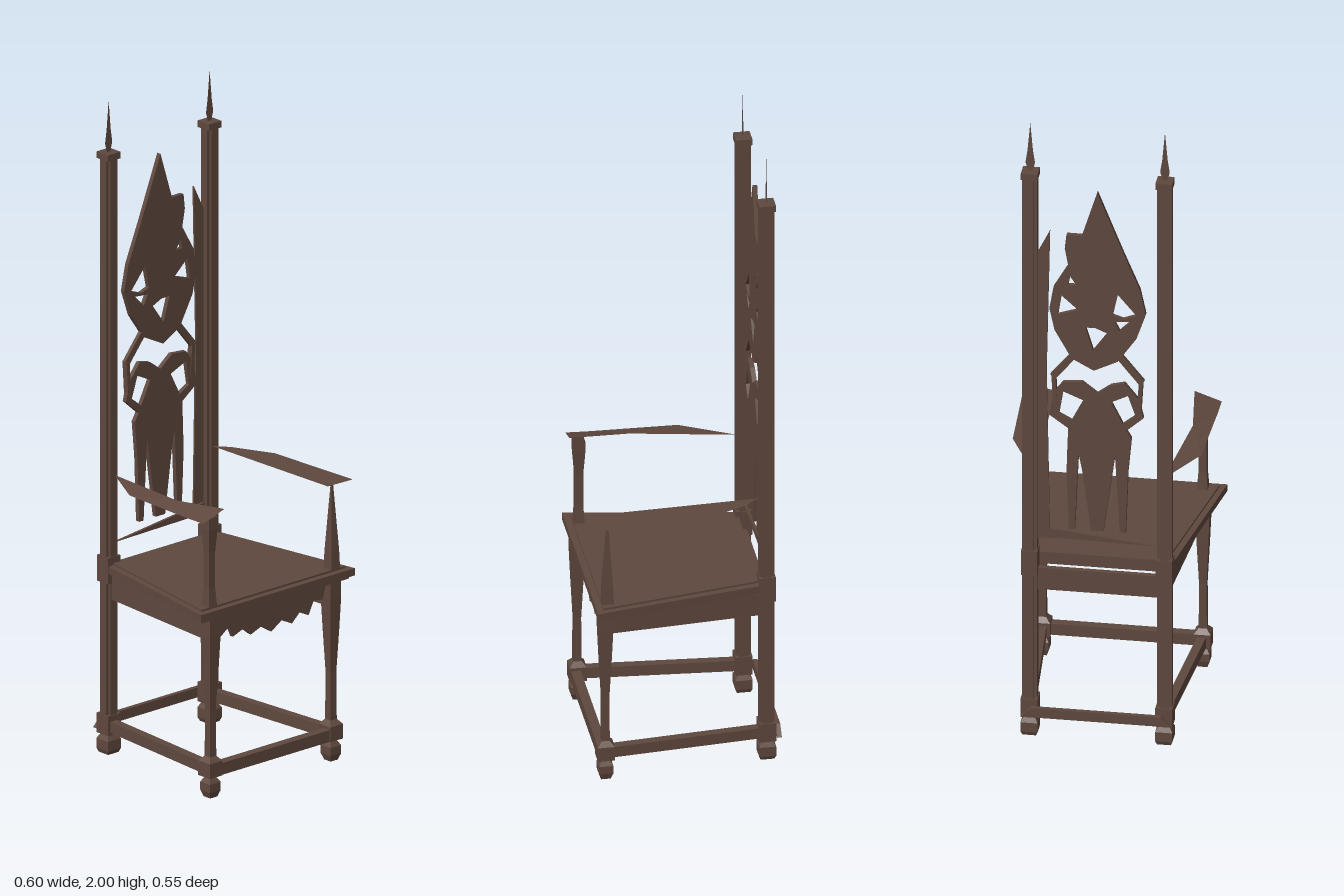
import * as THREE from 'three';

export function createModel() {
  const root = new THREE.Group();
  root.name = 'tallBackArmchair';
  const wood = new THREE.MeshStandardMaterial({ color: 0x5f483e, side: THREE.DoubleSide });
  wood.name = 'dark brown wood';

  const add = (name, geo, parent = root) => {
    const m = new THREE.Mesh(geo, wood);
    m.name = name;
    parent.add(m);
    return m;
  };
  const box = (name, w, h, d, x, y, z, parent) => {
    const m = add(name, new THREE.BoxGeometry(w, h, d), parent);
    m.position.set(x, y, z);
    return m;
  };
  // Straight bar between two points
  const beam = (name, a, b, w, h, parent) => {
    const p = new THREE.Vector3(...a), q = new THREE.Vector3(...b);
    const m = add(name, new THREE.BoxGeometry(w, h, p.distanceTo(q)), parent);
    m.position.copy(p).add(q).multiplyScalar(0.5);
    m.lookAt(q);
    return m;
  };
  const outline = (pts) => new THREE.Shape(pts.map((p) => new THREE.Vector2(...p)));
  // Upright fretwork plate in the xy plane
  const plate = (name, pts, z, depth, holes = [], parent = root) => {
    const s = outline(pts);
    holes.forEach((h) => s.holes.push(new THREE.Path(h.map((p) => new THREE.Vector2(...p)))));
    const g = new THREE.ExtrudeGeometry(s, { depth, bevelEnabled: false });
    g.translate(0, 0, z - depth / 2);
    return add(name, g, parent);
  };
  // Horizontal slab from an [x, z] outline
  const slab = (name, pts, y, h) => {
    const g = new THREE.ExtrudeGeometry(outline(pts.map(([x, z]) => [x, -z])), { depth: h, bevelEnabled: false });
    g.rotateX(-Math.PI / 2);
    g.translate(0, y, 0);
    return add(name, g);
  };
  // Square turned piece: rows of [half width, y]
  const turned = (name, rows, x, z, parent = root) => {
    const g = new THREE.LatheGeometry(rows.map(([r, y]) => new THREE.Vector2(r * Math.SQRT2, y)), 4, Math.PI / 4);
    const flat = g.toNonIndexed();
    flat.computeVertexNormals();
    const m = add(name, flat, parent);
    m.position.set(x, 0, z);
    return m;
  };
  // Thin sheet from 3D corners, fanned from the first
  const sheet = (name, pts, tris) => {
    const g = new THREE.BufferGeometry();
    g.setAttribute('position', new THREE.Float32BufferAttribute(tris.flatMap((i) => pts[i]), 3));
    g.computeVertexNormals();
    return add(name, g);
  };

  const ZB = -0.237, XB = 0.197, XF = 0.235, ZF = 0.243;

  for (const s of [-1, 1]) {
    // Ridged back post with foot, blocks, cap and flat finial
    const post = new THREE.Group();
    post.name = 'backPost';
    root.add(post);
    box('postCore', 0.044, 1.72, 0.026, s * XB, 0.97, ZB, post);
    box('postRidge', 0.026, 1.72, 0.044, s * XB, 0.97, ZB, post);
    box('seatBlock', 0.048, 0.08, 0.048, s * XB, 0.565, ZB, post);
    box('stretcherBlock', 0.05, 0.06, 0.05, s * XB, 0.09, ZB, post);
    box('postCap', 0.049, 0.02, 0.049, s * XB, 1.833, ZB, post);
    turned('backFoot', [[0, 0], [0.02, 0], [0.025, 0.012], [0.025, 0.042], [0.014, 0.062]], s * XB, ZB, post);
    const fin = [[-0.007, 1.843], [0.007, 1.843], [0.014, 1.87], [0.008, 1.91], [0, 2], [-0.008, 1.91], [-0.014, 1.87]];
    const f = add('finial', new THREE.ShapeGeometry(outline(fin)), post);
    f.position.set(s * XB, 0, ZB);

    // Tapered front leg
    turned('frontLeg', [[0, 0], [0.014, 0], [0.021, 0.02], [0.021, 0.045], [0.012, 0.06], [0.025, 0.065],
      [0.025, 0.11], [0.012, 0.125], [0.011, 0.27], [0.017, 0.4], [0.021, 0.5], [0.021, 0.555]], s * XF, ZF);

    // Side stretcher and seat rail
    beam('sideStretcher', [s * XF, 0.085, ZF], [s * XB, 0.085, ZB], 0.026, 0.034);
    beam('sideRail', [s * 0.228, 0.51, 0.225], [s * 0.197, 0.51, -0.215], 0.016, 0.07);
  }

  // Cross stretchers and back rail
  box('frontStretcher', 0.5, 0.036, 0.028, 0, 0.083, 0.25);
  plate('backStretcher', [[-0.22, 0.07], [0.22, 0.07], [0.19, 0.1], [-0.19, 0.1]], -0.272, 0.014);
  box('backRail', 0.36, 0.07, 0.016, 0, 0.51, ZB);

  // Seat with moulded edge
  const seat = (o) => [[-0.3 + o, 0.275 - o], [0.3 - o, 0.275 - o], [0.218 - o, -0.222], [-0.218 + o, -0.222]];
  slab('seatLowerMoulding', seat(0.012), 0.548, 0.012);
  slab('seatBoard', seat(0), 0.558, 0.022);
  slab('seatPanel', seat(0.02), 0.58, 0.006);

  // Scalloped front apron
  plate('frontApron', [[-0.215, 0.55], [-0.2, 0.48], [-0.165, 0.505], [-0.15, 0.47], [-0.11, 0.485], [-0.08, 0.46],
    [-0.04, 0.475], [0, 0.45], [0.04, 0.475], [0.08, 0.455], [0.11, 0.482], [0.145, 0.465], [0.165, 0.505],
    [0.2, 0.5], [0.215, 0.55]], 0.24, 0.012);

  // Right arm: sloping sheet on a square support
  sheet('rightArm', [[-0.19, 0.853, -0.215], [-0.2, 0.853, -0.2], [-0.276, 0.853, -0.06], [-0.284, 0.853, 0.2],
    [-0.285, 0.855, 0.268], [-0.205, 0.882, 0.27], [-0.228, 0.866, 0.09]],
  [0, 1, 2, 0, 2, 6, 2, 3, 6, 6, 3, 5, 3, 4, 5]);
  turned('rightArmSupport', [[0.016, 0.583], [0.012, 0.64], [0.012, 0.75], [0.017, 0.82], [0.017, 0.858]], -XF, 0.238);

  // Left arm: flat sheet on a pointed support
  sheet('leftArm', [[0.185, 0.853, -0.215], [0.22, 0.853, -0.17], [0.278, 0.853, -0.045], [0.294, 0.853, 0.272],
    [0.2, 0.853, 0.268]], [0, 2, 1, 0, 3, 2, 0, 4, 3]);
  turned('leftArmSupport', [[0.017, 0.583], [0.015, 0.64], [0.002, 0.853]], 0.243, 0.238);

  // Pierced back panel
  const back = new THREE.Group();
  back.name = 'backFretwork';
  root.add(back);
  const Z = -0.238, T = 0.014;
  plate('upperFretwork', [[0, 1.79], [0.045, 1.645], [0.09, 1.645], [0.095, 1.6], [0.085, 1.545], [0.128, 1.47],
    [0.14, 1.4], [0.125, 1.33], [0.075, 1.24], [0.01, 1.205], [-0.06, 1.24], [-0.115, 1.32], [-0.142, 1.4],
    [-0.125, 1.48], [-0.075, 1.6]], Z, T, [
    [[-0.115, 1.395], [-0.06, 1.46], [-0.045, 1.39], [-0.075, 1.38]],
    [[-0.1, 1.375], [-0.05, 1.37], [-0.065, 1.34]],
    [[0.055, 1.4], [0.105, 1.445], [0.115, 1.38]],
    [[-0.03, 1.33], [0.005, 1.345], [0.035, 1.345], [0.012, 1.27]],
    [[0.06, 1.48], [0.08, 1.51], [0.085, 1.48]],
  ], back);
  plate('lowerFretwork', [[0, 1.13], [0.045, 1.165], [0.1, 1.16], [0.13, 1.12], [0.14, 1.05], [0.085, 1.01],
    [0.088, 0.93], [0.09, 0.86], [0.083, 0.68], [0.066, 0.68], [0.055, 0.93], [0.045, 0.88], [0.018, 0.68],
    [-0.018, 0.68], [-0.045, 0.88], [-0.052, 0.93], [-0.066, 0.68], [-0.083, 0.68], [-0.09, 0.88], [-0.1, 0.99],
    [-0.085, 1.015], [-0.135, 1.06], [-0.12, 1.12], [-0.08, 1.17], [-0.04, 1.16]], Z, T, [
    [[-0.112, 1.065], [-0.09, 1.13], [-0.04, 1.105], [-0.075, 1.035]],
    [[0.112, 1.055], [0.1, 1.13], [0.04, 1.105], [0.075, 1.035]],
  ], back);
  for (const s of [-1, 1]) {
    beam('upperLink', [s * 0.065, 1.255, Z], [s * 0.13, 1.175, Z], 0.012, 0.02, back);
    beam('lowerLink', [s * 0.128, 1.18, Z], [s * 0.122, 1.08, Z], 0.018, 0.012, back);
  }

  // Tapered frame strips beside and below the fretwork
  plate('sideStrip', [[0.138, 1.655], [0.175, 1.58], [0.175, 0.645], [0.138, 0.645], [0.148, 1.2]], -0.243, 0.006, [], back);
  plate('bottomStrip', [[-0.172, 0.64], [0.172, 0.645], [0.172, 0.678]], -0.236, 0.008, [], back);

  return root;
}
